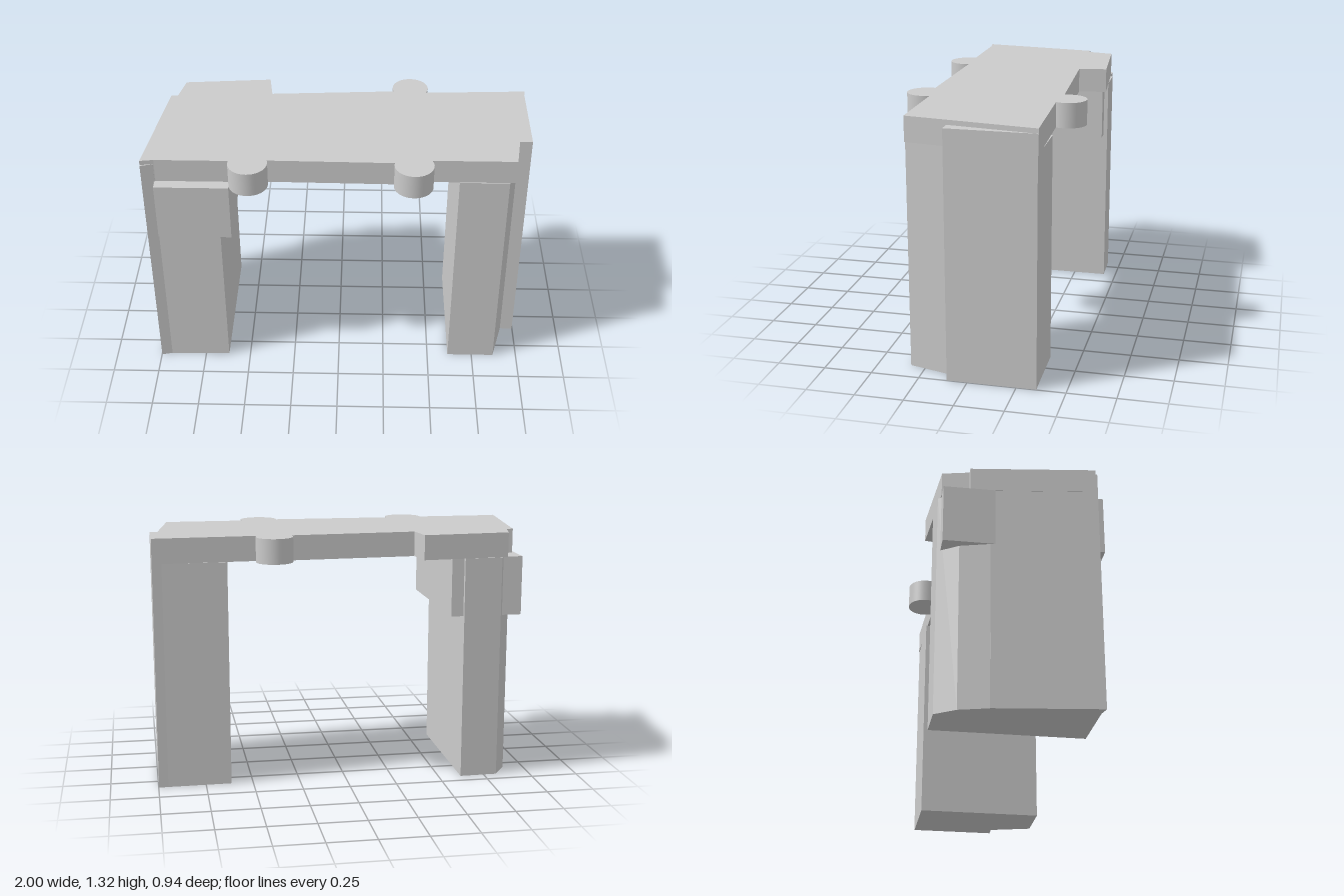
import * as THREE from 'three';

const material = new THREE.MeshStandardMaterial({ color: 0xcccccc });
const SLAB_BOTTOM = 1.19, SLAB_TOP = 1.32, PANEL_TOP = 1.295;

// Upright prism from a plan outline of [x, z] corners
function prism(name, plan, y0, y1) {
  const shape = new THREE.Shape(plan.map(([x, z]) => new THREE.Vector2(x, -z)));
  const geometry = new THREE.ExtrudeGeometry(shape, { depth: y1 - y0, bevelEnabled: false });
  geometry.rotateX(-Math.PI / 2).translate(0, y0, 0);
  const mesh = new THREE.Mesh(geometry, material);
  mesh.name = name;
  return mesh;
}

export function createModel() {
  const group = new THREE.Group();
  group.name = 'archway';

  // Flat roof with a stepped, slightly skewed outline
  group.add(prism('roofSlab', [
    [-1, 0.36], [-0.93, 0.35], [-0.56, 0.35], [-0.36, 0.342], [0.28, 0.35], [0.48, 0.325],
    [0.9, 0.325], [0.997, -0.355], [0.46, -0.33], [0.28, -0.34], [-0.375, -0.3],
    [-0.395, -0.45], [-0.855, -0.41], [-0.885, -0.272], [-0.92, -0.272],
  ], SLAB_BOTTOM, SLAB_TOP));

  // Round turret stubs on the roof edge
  for (const [x, z, r] of [[-0.457, 0.368, 0.1], [0.38, 0.368, 0.1], [0.375, -0.377, 0.096]]) {
    const height = SLAB_TOP - SLAB_BOTTOM;
    const stub = new THREE.Mesh(new THREE.CylinderGeometry(r, r, height, 40), material);
    stub.position.set(x, SLAB_BOTTOM + height / 2, z);
    stub.name = 'turretStub';
    group.add(stub);
  }

  // Pier on the +x side, with its taller outer panel
  group.add(prism('leftPier', [
    [0.615, 0.33], [0.87, 0.33], [0.93, 0.105], [0.96, -0.35], [0.615, -0.345],
  ], 0, SLAB_BOTTOM));
  group.add(prism('leftOuterPanel', [
    [0.93, 0.105], [0.998, 0.105], [0.998, -0.352], [0.93, -0.349],
  ], 0, PANEL_TOP));

  // Pier on the -x side, with a faceted back corner and its taller outer panel
  group.add(prism('rightPier', [
    [-0.96, 0.355], [-0.62, 0.35], [-0.62, -0.43], [-0.82, -0.425],
    [-0.89, -0.32], [-0.93, -0.17],
  ], 0, SLAB_BOTTOM));
  group.add(prism('rightOuterPanel', [
    [-0.999, 0.368], [-0.935, 0.353], [-0.88, -0.17], [-0.932, -0.17],
  ], 0, PANEL_TOP));

  // Beam running front to back through the -x pier
  const beam = new THREE.Mesh(new THREE.BoxGeometry(0.38, 0.312, 0.816), material);
  beam.position.set(-0.745, 1.036, 0);
  beam.name = 'crossBeam';
  group.add(beam);

  return group;
}
